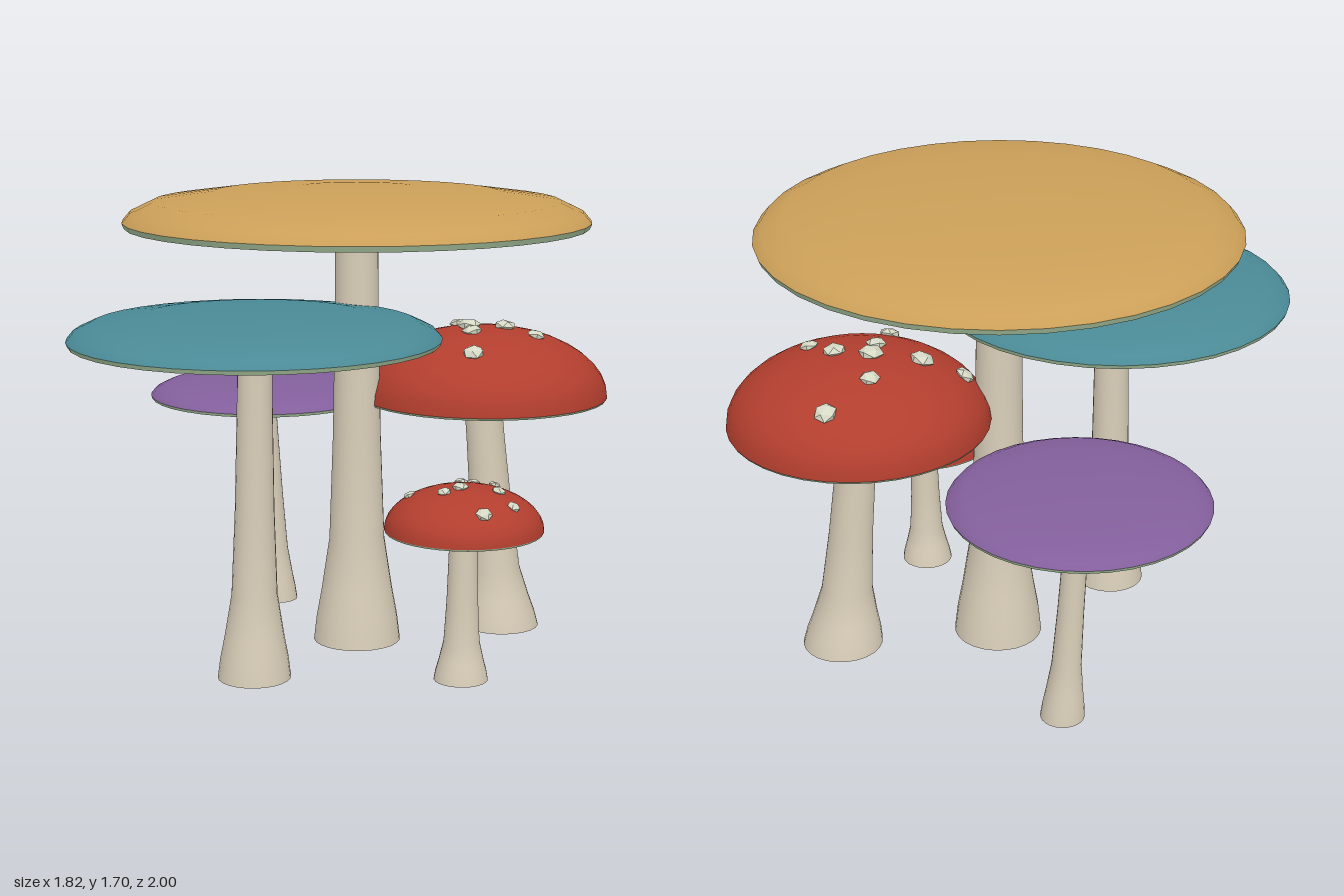
import * as THREE from 'three';

const mat = (name, color) => {
  const m = new THREE.MeshStandardMaterial({ color });
  m.name = name;
  return m;
};

export function createModel() {
  const stemMat = mat('stem cream', 0xd8cdb8);
  const gillMat = mat('gill green', 0xa9c49f);
  const spotMat = mat('spot ivory', 0xd5d8c4);
  const ochre = mat('cap ochre', 0xcb9f58);
  const teal = mat('cap teal', 0x4a8a96);
  const red = mat('cap red', 0xb23e2e);
  const purple = mat('cap purple', 0x835f9c);

  const model = new THREE.Group();
  model.name = 'mushroomCluster';

  const SEG = 36;
  const add = (parent, name, geo, material) => {
    const mesh = new THREE.Mesh(geo, material);
    mesh.name = name;
    parent.add(mesh);
    return mesh;
  };
  const lathe = (pts, seg = SEG) =>
    new THREE.LatheGeometry(pts.map(([r, y]) => new THREE.Vector2(r, y)), seg);

  // Share of the root flare left at each height along the stem
  const flare = [[0, 1], [0.06, 0.87], [0.125, 0.65], [0.25, 0.3], [0.5, 0.13], [0.8, 0.03], [1, 0]];
  // Broad shallow cap outline and full dome outline, as [radius, height]
  const flatCap = [[1, 0], [0.966, 0.28], [0.87, 0.6], [0.61, 0.85], [0.25, 0.98], [0, 1]];
  const domeCap = Array.from({ length: 11 }, (_, i) => {
    const a = (i / 10) * Math.PI / 2;
    return [Math.cos(a), Math.sin(a)];
  });

  function mushroom({ name, x, z, R, y0, y1, rim, outline, color, base, stem, spots = [], spotSize = 0 }) {
    const g = new THREE.Group();
    g.name = name;
    g.position.set(x, 0, z);
    model.add(g);

    // Stem: flared lathe, leaning from its foot to the cap centre
    const [bx, bz, baseR] = base;
    const dx = bx - x, dz = bz - z;
    const h = y0 + 0.02;
    const stemGeo = lathe(flare.map(([t, f]) => [stem + (baseR - stem) * f, t * h]), 24);
    const p = stemGeo.attributes.position;
    for (let i = 0; i < p.count; i++) {
      const k = 1 - p.getY(i) / h;
      p.setX(i, p.getX(i) + dx * k);
      p.setZ(i, p.getZ(i) + dz * k);
    }
    add(g, 'stem', stemGeo, stemMat);
    const foot = add(g, 'stemFoot', new THREE.CircleGeometry(baseR, 24).rotateX(Math.PI / 2), stemMat);
    foot.position.set(dx, 0, dz);

    // Gills: shallow hollow underside with a small collar, and the rim band
    add(g, 'gills', lathe([
      [stem * 0.9, y0 + 0.002], [stem * 1.3, y0 + 0.012], [R * 0.35, y0 + 0.018],
      [R * 0.8, y0 + 0.012], [R * 0.99, y0],
    ]), gillMat);
    add(g, 'rim', lathe([[R * 0.99, y0], [R, y0 + rim]]), gillMat);

    // Cap
    const H = y1 - y0 - rim;
    add(g, 'cap', lathe(outline.map(([r, y]) => [r * R, y0 + rim + y * H])), color);

    // Spots: flattened faceted lumps lying along the dome
    const up = new THREE.Vector3(0, 1, 0);
    spots.forEach(([sx, sz], i) => {
      const sy = H * Math.sqrt(Math.max(0, 1 - (sx * sx + sz * sz) / (R * R)));
      const s = spotSize * (0.9 + 0.25 * ((i * 7) % 5) / 4);
      const geo = new THREE.IcosahedronGeometry(s, 0).rotateY(i * 1.3).scale(1, 0.5, 1);
      const spot = add(g, 'spot', geo, spotMat);
      const n = new THREE.Vector3(sx / (R * R), sy / (H * H), sz / (R * R)).normalize();
      spot.position.set(sx, y0 + rim + sy, sz).addScaledVector(n, s * 0.15);
      spot.quaternion.setFromUnitVectors(up, n);
    });
  }
  spotMat.flatShading = true;

  mushroom({ name: 'tallOchreMushroom', x: 0.01, z: -0.09, R: 0.84, y0: 1.56, y1: 1.7, rim: 0.02,
    outline: flatCap, color: ochre, base: [0.005, -0.13, 0.162], stem: 0.077 });
  mushroom({ name: 'tealMushroom', x: -0.265, z: 0.355, R: 0.645, y0: 1.2, y1: 1.305, rim: 0.015,
    outline: flatCap, color: teal, base: [-0.275, 0.37, 0.13], stem: 0.06 });
  mushroom({ name: 'purpleMushroom', x: -0.44, z: -0.555, R: 0.445, y0: 0.835, y1: 0.91, rim: 0.011,
    outline: flatCap, color: purple, base: [-0.4, -0.585, 0.078], stem: 0.041 });
  mushroom({ name: 'largeRedMushroom', x: 0.44, z: -0.357, R: 0.466, y0: 0.9, y1: 1.165, rim: 0.008,
    outline: domeCap, color: red, base: [0.515, -0.41, 0.147], stem: 0.07, spotSize: 0.04,
    spots: [[-0.11, -0.14], [-0.03, -0.33], [-0.21, 0.08], [-0.03, 0.1], [0.08, -0.01],
      [0.2, 0.04], [0.0, 0.29], [-0.05, 0.01], [-0.34, 0.15]] });
  mushroom({ name: 'smallRedMushroom', x: 0.452, z: 0.255, R: 0.279, y0: 0.54, y1: 0.7, rim: 0.006,
    outline: domeCap, color: red, base: [0.448, 0.262, 0.096], stem: 0.05, spotSize: 0.026,
    spots: [[-0.19, 0.01], [-0.06, 0.075], [-0.01, 0.03], [-0.03, -0.15], [0.01, -0.18],
      [0.09, -0.13], [0.12, 0.01], [0.09, 0.19], [0.18, 0.09]] });

  return model;
}
